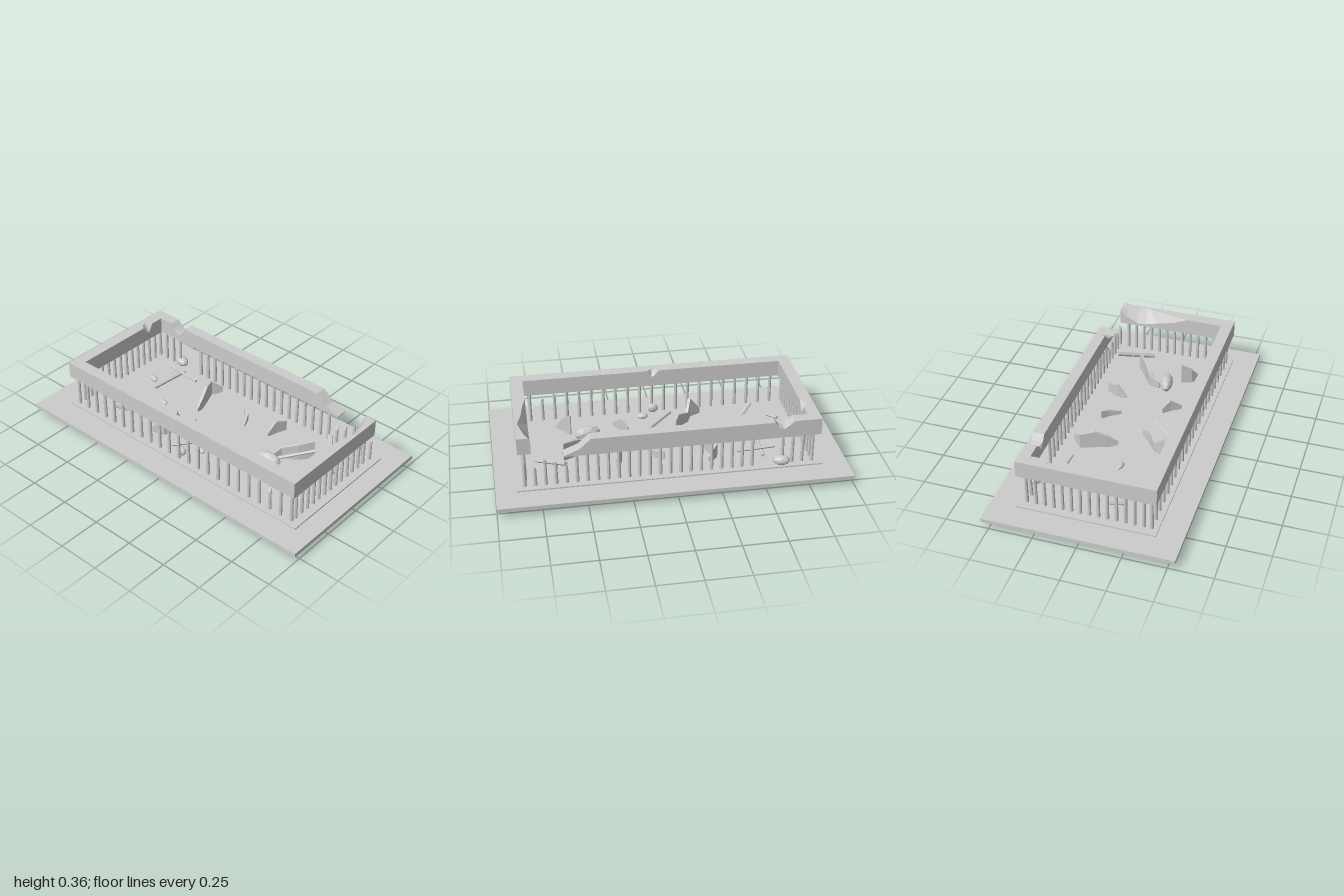
import * as THREE from 'three';

const grey = new THREE.MeshStandardMaterial({ color: 0xcccccc, flatShading: true });
const V = (x, y, z) => new THREE.Vector3(x, y, z);

// Closed solid skinned through cross-sections with equal point counts
function loft(sections) {
  const n = sections[0].length, pts = sections.flat(), tris = [];
  for (let s = 0; s < sections.length - 1; s++) {
    for (let i = 0; i < n; i++) {
      const a = s * n + i, b = s * n + (i + 1) % n;
      tris.push([a, b, b + n], [a, b + n, a + n]);
    }
  }
  const e = (sections.length - 1) * n;
  for (let i = 1; i < n - 1; i++) tris.push([0, i + 1, i], [e, e + i, e + i + 1]);
  let volume = 0;
  for (const [a, b, c] of tris) volume += pts[a].dot(pts[b].clone().cross(pts[c]));
  const out = [];
  for (const t of tris) for (const k of volume < 0 ? [t[0], t[2], t[1]] : t) out.push(...pts[k].toArray());
  const g = new THREE.BufferGeometry();
  g.setAttribute('position', new THREE.Float32BufferAttribute(out, 3));
  g.computeVertexNormals();
  return g;
}

export function createModel() {
  const root = new THREE.Group();
  const add = (name, geometry, parent = root) => {
    const m = new THREE.Mesh(geometry, grey);
    m.name = name;
    parent.add(m);
    return m;
  };
  const group = (name) => {
    const g = new THREE.Group();
    g.name = name;
    root.add(g);
    return g;
  };
  let seed = 11;
  const rnd = () => (seed = (seed * 16807) % 2147483647) / 2147483647;

  // Floor slab and its thin raised step
  add('floorSlab', new THREE.BoxGeometry(2, 0.022, 1.085)).position.set(0, 0.048, -0.002);
  add('floorStep', new THREE.BoxGeometry(1.74, 0.009, 0.79)).position.set(0.015, 0.0625, -0.002);

  // Top rail beams. Stops: [position, top height, inner top inset, inner edge drop]
  const LOW = 0.26, TOP = 0.36;
  const beams = group('topRail');
  function beam(name, axis, outer, inner, stops) {
    add(name, loft(stops.map(([t, top = TOP, inset = 0, drop = 0.0005]) => {
      const edge = inner + Math.sign(outer - inner) * inset;
      const lip = Math.max(top - drop, LOW + 0.002);
      return [[outer, LOW], [outer, top], [edge, top], [inner, lip], [inner, LOW]]
        .map(([o, y]) => axis === 'x' ? V(t, y, o) : V(o, y, t));
    })), beams);
  }
  beam('frontBeam', 'x', 0.39, 0.32, [[-0.835], [-0.025], [0, TOP, 0.03, 0.03], [0.02, TOP, 0.028, 0.04], [0.045], [0.79]]);
  beam('backBeam', 'x', -0.395, -0.33, [[-0.835], [-0.675], [-0.65, 0.335], [-0.62, 0.315, 0.01, 0.02],
    [-0.59, 0.325], [-0.565], [0.465], [0.53, 0.3], [0.615, 0.266]]);
  beam('rightBeam', 'z', -0.835, -0.765, [[-0.33], [-0.25], [-0.22, TOP, 0.035, 0.05], [-0.2, TOP, 0.03, 0.04], [-0.17], [0.32]]);
  beam('leftBrokenBeam', 'z', 0.865, 0.79, [[-0.335, TOP, 0.01, 0.01], [-0.29, TOP, 0.03, 0.05], [-0.22, TOP, 0.048, 0.085],
    [-0.17, TOP, 0.06, 0.08], [-0.08, TOP, 0.035, 0.06], [0.02, TOP, 0.02, 0.035], [0.1], [0.39]]);

  // Balusters, broken short where the rail is damaged
  const posts = group('balusters');
  function post(x, z, top = 0.265) {
    const h = top - 0.06;
    const p = add('baluster', new THREE.CylinderGeometry(0.009, 0.0105, h, 8), posts);
    p.position.set(x, 0.06 + h / 2, z);
    p.rotation.set((rnd() - 0.5) * 0.03, rnd() * 3, (rnd() - 0.5) * 0.03);
    if (top < 0.26) {
      // Jagged broken tip
      const a = p.geometry.attributes.position;
      for (let i = 0; i < a.count; i++) if (a.getY(i) > 0) a.setY(i, a.getY(i) + a.getX(i) * 1.6);
      p.geometry.computeVertexNormals();
    }
  }
  for (let i = 0; i <= 22; i++) {
    const x = -0.8 + i * 0.074;
    post(x, 0.355, x > 0.57 && x < 0.74 ? 0.2 + 0.03 * (i % 2) : 0.265);
  }
  for (let i = 0; i <= 28; i++) {
    const x = -0.8 + i * 0.0584;
    if (i !== 4 && i !== 5) post(x, -0.352, x > 0.59 ? 0.17 + 0.03 * (i % 3) : 0.265);
  }
  for (let i = 0; i < 13; i++) {
    const z = -0.3 + i * 0.051;
    post(-0.8, z);
    post(0.83, z + 0.008);
  }

  const debris = group('debris');

  // Fallen sticks: start point, end point, radius
  const sticks = [
    [[-0.53, 0.085, -0.29], [-0.535, 0.1, -0.02], 0.01],
    [[-0.61, 0.115, -0.245], [-0.39, 0.1, -0.24], 0.009],
    [[0.6, 0.15, -0.29], [0.76, 0.07, -0.1], 0.013],
    [[0.08, 0.085, 0.1], [-0.09, 0.075, 0.3], 0.011],
    [[-0.71, 0.1, 0.09], [-0.67, 0.08, 0.17], 0.011],
    [[-0.585, 0.105, 0.275], [-0.42, 0.01, 0.115], 0.011],
    [[0.61, 0.13, -0.14], [0.43, 0.08, 0.03], 0.01],
  ];
  for (const [a, b, r] of sticks) {
    const A = V(...a), d = V(...b).sub(A);
    const s = add('fallenStick', new THREE.CylinderGeometry(r, r, d.length(), 6), debris);
    s.position.copy(A).addScaledVector(d, 0.5);
    s.quaternion.setFromUnitVectors(V(0, 1, 0), d.normalize());
  }

  // Upright broken plates: stations [x, z, bottom, top] along a bent line
  const plates = [
    [[-0.215, -0.29, 0.08, 0.11], [-0.265, -0.235, 0.05, 0.16], [-0.235, -0.16, 0.03, 0.175], [-0.21, -0.09, 0.06, 0.14], [-0.19, -0.03, 0.08, 0.1]],
    [[-0.09, 0.09, 0.1, 0.14], [-0.11, 0.14, 0.07, 0.15], [-0.175, 0.19, 0.06, 0.13], [-0.2, 0.25, 0.05, 0.19], [-0.27, 0.28, 0.025, 0.1]],
    [[0.03, -0.21, 0.07, 0.12], [0.07, -0.18, 0.06, 0.11], [0.11, -0.11, 0.07, 0.09]],
    [[0.31, -0.255, 0.06, 0.13], [0.28, -0.19, 0.06, 0.15], [0.27, -0.13, 0.07, 0.09]],
    [[0.19, 0.12, 0.06, 0.1], [0.23, 0.155, 0.05, 0.14], [0.27, 0.22, 0.07, 0.09]],
    [[0.53, 0.145, 0.07, 0.2], [0.56, 0.2, 0.05, 0.16], [0.61, 0.25, 0.02, 0.08]],
    [[0.6, -0.145, 0.08, 0.19], [0.53, -0.08, 0.06, 0.17], [0.45, -0.03, 0.06, 0.14], [0.43, 0.03, 0.07, 0.11]],
  ];
  for (const path of plates) {
    add('brokenPlate', loft(path.map(([x, z, lo, hi], i) => {
      const p = path[Math.max(i - 1, 0)], q = path[Math.min(i + 1, path.length - 1)];
      const w = i === 0 || i === path.length - 1 ? 0.003 : 0.009;
      const len = Math.hypot(q[0] - p[0], q[1] - p[1]);
      const nx = -(q[1] - p[1]) / len * w, nz = (q[0] - p[0]) / len * w;
      return [V(x - nx, lo, z - nz), V(x + nx, lo, z + nz), V(x + nx, hi, z + nz), V(x - nx, hi, z - nz)];
    })), debris);
  }

  // Faceted rubble stones: [x, y, z, half sizes]
  const stones = [
    [-0.6, 0.11, -0.08, 0.034, 0.018, 0.018], [-0.395, 0.1, 0.05, 0.034, 0.014, 0.017],
    [0.44, 0.115, 0.075, 0.078, 0.045, 0.038], [0.085, 0.095, 0.25, 0.033, 0.018, 0.022],
    [0.01, 0.1, 0.33, 0.033, 0.03, 0.02], [-0.62, 0.09, -0.36, 0.05, 0.03, 0.035],
  ];
  for (const [x, y, z, a, b, c] of stones) {
    const s = add('rubbleStone', new THREE.IcosahedronGeometry(1, 1), debris);
    s.scale.set(a, b, c);
    s.position.set(x, y, z);
    s.rotation.y = x * 0.4;
  }
  return root;
}
